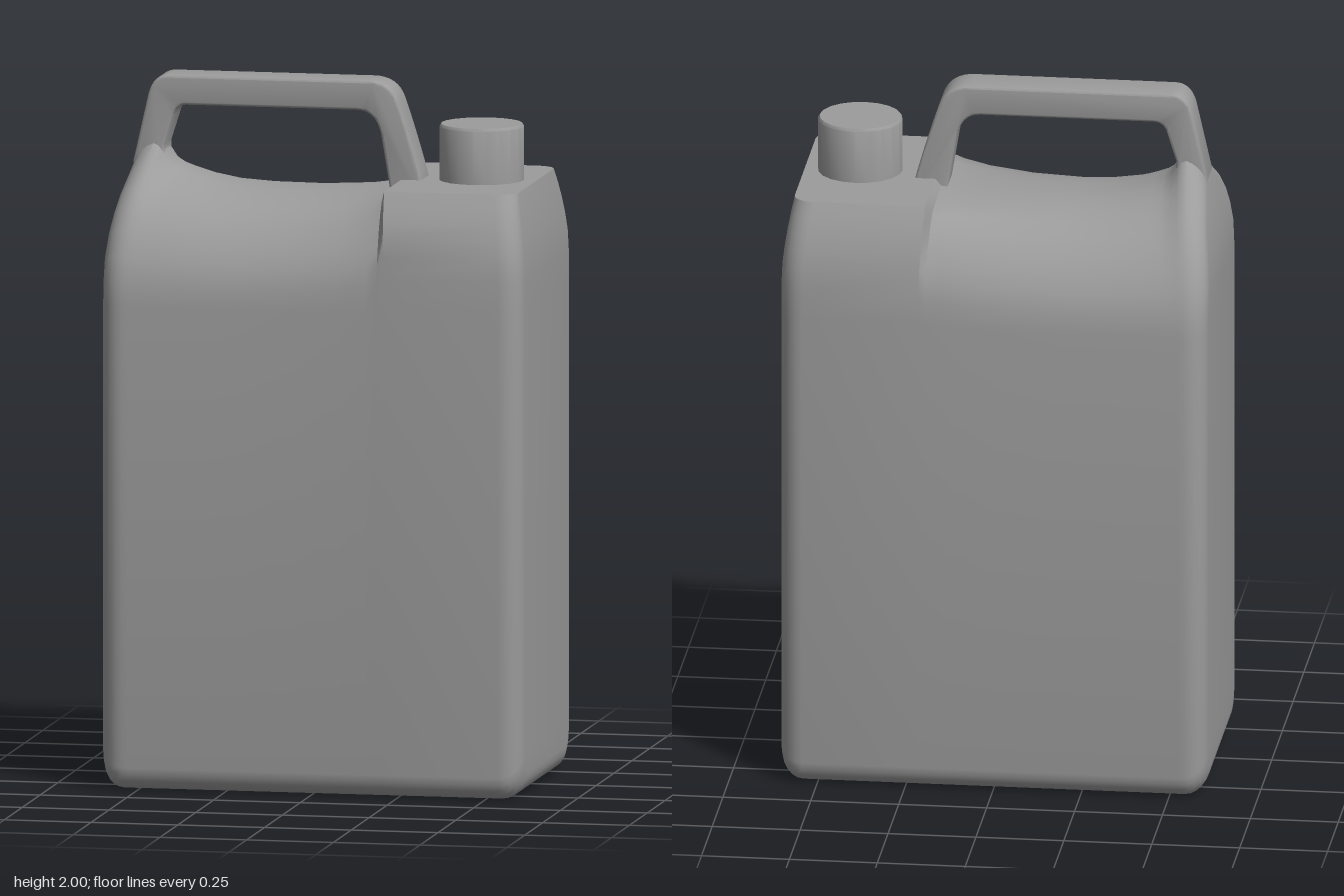
import * as THREE from 'three';
import { toCreasedNormals } from 'three/addons/utils/BufferGeometryUtils.js';

const HALF_X = 0.607, HALF_Z = 0.37, R = 0.065;
const CREASE = 0.62;

// Half profiles of the shoulder as [z, y], from the ridge down to the wall
const FLAT = [[0.04, 1.72], [0.1, 1.72], [0.2, 1.72], [0.295, 1.72], [0.318, 1.68], [0.338, 1.635], [0.353, 1.59], [0.365, 1.54], [0.37, 1.48], [0.37, 1.4]];
const ARCH = [[0.03, 1.677], [0.08, 1.674], [0.14, 1.664], [0.2, 1.645], [0.25, 1.617], [0.29, 1.58], [0.322, 1.54], [0.35, 1.49], [0.365, 1.44], [0.37, 1.38]];
const NECK = [[0.03, 1.815], [0.06, 1.805], [0.1, 1.772], [0.15, 1.738], [0.21, 1.7], [0.265, 1.65], [0.308, 1.59], [0.343, 1.52], [0.364, 1.45], [0.37, 1.38]];

// Shares of neck and flat profile along x: [x, neck, flat]
const KEYS = [[-0.61, 1, 0], [-0.55, 1, 0], [-0.525, 0.8, 0], [-0.5, 0.58, 0], [-0.475, 0.47, 0], [-0.44, 0.38, 0],
  [-0.38, 0.25, 0], [-0.3, 0.14, 0], [-0.2, 0.09, 0], [-0.05, 0.04, 0.1], [0.08, 0, 0.28], [0.16, 0, 0.45],
  [0.192, 0, 0.56], [0.21, 0, 1], [0.61, 0, 1]];

function shares(x) {
  const i = Math.max(1, KEYS.findIndex(k => k[0] >= x));
  const a = KEYS[i - 1], b = KEYS[i], t = (x - a[0]) / (b[0] - a[0]);
  return [1, 2].map(k => a[k] + (b[k] - a[k]) * t);
}

// One closed cross-section of the bottle at x, inset by d near the ends
function section(x, d) {
  const [n, f] = shares(x);
  const w = HALF_Z - d;
  const half = ARCH.map((p, i) => [0, 1].map(k =>
    p[k] + n * (NECK[i][k] - p[k]) + f * (FLAT[i][k] - p[k])));
  half.forEach((p, i) => {
    p[0] *= w / HALF_Z;
    p[1] -= n * d * (1 - i / 9); // rounds the edge below the handle
  });
  for (let i = 0; i <= 5; i++) {
    const a = i / 5 * Math.PI / 2;
    half.push([w - R + R * Math.cos(a), d + R - R * Math.sin(a)]);
  }
  const loop = half.concat(half.slice().reverse().map(([z, y]) => [-z, y]));
  // the end walls lean inwards above the shoulder
  return loop.map(([z, y]) => {
    const u = Math.max(0, (y - 1.5) / 0.22);
    return [x * (1 - 0.05 * Math.pow(u, 1.5)), y, z];
  });
}

function bodyGeometry() {
  const ends = [];
  for (let i = 0; i <= 6; i++) {
    const a = i / 6 * Math.PI / 2;
    ends.push([HALF_X - R * (1 - Math.cos(a)), R * (1 - Math.sin(a))]);
  }
  const stations = [
    ...ends.map(([x, d]) => [-x, d]),
    ...KEYS.filter(k => k[0] > -0.53 && k[0] < 0.53).map(k => [k[0], 0]),
    ...ends.slice().reverse(),
  ];
  const loops = stations.map(([x, d]) => section(x, d));
  const N = loops[0].length, last = loops.length - 1;
  const index = [];
  for (let i = 0; i < last; i++) {
    for (let j = 0; j < N; j++) {
      const k = (j + 1) % N;
      const a = i * N + j, b = i * N + k, c = a + N, d = b + N;
      index.push(a, b, c, c, b, d);
    }
  }
  // flat end walls, strip by strip between mirrored points
  for (let k = 0; k < N / 2 - 1; k++) {
    const p = k, q = k + 1, r = N - 1 - k, s = N - 2 - k, o = last * N;
    index.push(p, r, q, q, r, s);
    index.push(o + p, o + q, o + r, o + q, o + s, o + r);
  }
  const g = new THREE.BufferGeometry();
  g.setAttribute('position', new THREE.Float32BufferAttribute(loops.flat(2), 3));
  g.setIndex(index);
  return toCreasedNormals(g, CREASE);
}

function handleGeometry() {
  const s = new THREE.Shape();
  // outer edge
  s.moveTo(-0.55, 1.64);
  s.lineTo(-0.574, 1.75);
  s.lineTo(-0.53, 1.945);
  s.quadraticCurveTo(-0.515, 2, -0.47, 2);
  s.lineTo(0.1, 2);
  s.quadraticCurveTo(0.17, 2, 0.19, 1.94);
  s.quadraticCurveTo(0.225, 1.84, 0.26, 1.71);
  s.lineTo(0.26, 1.66);
  s.lineTo(0.165, 1.66);
  // inner edge
  s.lineTo(0.165, 1.7);
  s.lineTo(0.14, 1.85);
  s.quadraticCurveTo(0.125, 1.915, 0.07, 1.915);
  s.lineTo(-0.42, 1.915);
  s.quadraticCurveTo(-0.45, 1.915, -0.458, 1.885);
  s.lineTo(-0.485, 1.8);
  s.quadraticCurveTo(-0.488, 1.75, -0.44, 1.735);
  s.lineTo(-0.44, 1.64);
  s.closePath();
  const bevel = 0.008, width = 0.116;
  const g = new THREE.ExtrudeGeometry(s, {
    depth: width - 2 * bevel, curveSegments: 8,
    bevelEnabled: true, bevelThickness: bevel, bevelSize: bevel, bevelOffset: -bevel, bevelSegments: 3,
  });
  g.translate(0, 0, -width / 2 + bevel);
  return toCreasedNormals(g, CREASE);
}

function capGeometry() {
  const profile = [[0, 1.71], [0.12, 1.71], [0.12, 1.872], [0.115, 1.88], [0, 1.88]];
  const g = new THREE.LatheGeometry(profile.map(p => new THREE.Vector2(...p)), 20);
  return toCreasedNormals(g, CREASE);
}

export function createModel() {
  const group = new THREE.Group();
  group.name = 'jerrycan';
  const material = new THREE.MeshStandardMaterial({ color: 0x9c9c9c });
  const add = (name, geometry) => {
    const mesh = new THREE.Mesh(geometry, material);
    mesh.name = name;
    group.add(mesh);
    return mesh;
  };
  add('body', bodyGeometry());
  add('handle', handleGeometry());
  add('screwCap', capGeometry()).position.x = 0.42;
  return group;
}
